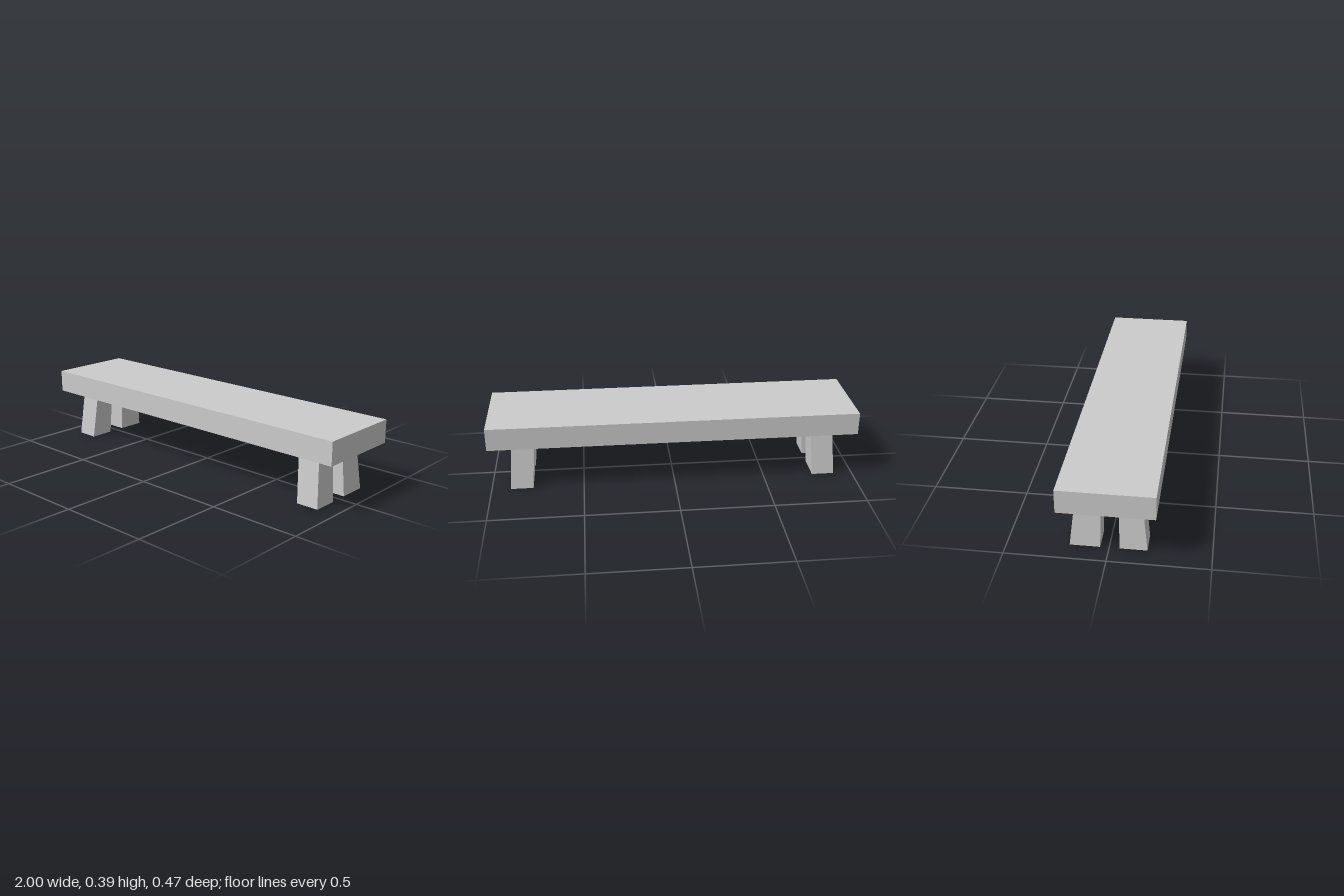
import * as THREE from 'three';

const SEAT_BOTTOM = 0.2625, SEAT_TOP = 0.386;

// Box between y0 and y1 whose bottom and top rectangles differ: [x0, x1, z0, z1]
function taperedBox(name, y0, y1, bottom, top, material) {
  const geometry = new THREE.BoxGeometry(1, 1, 1);
  const pos = geometry.attributes.position;
  for (let i = 0; i < pos.count; i++) {
    const upper = pos.getY(i) > 0;
    const r = upper ? top : bottom;
    pos.setXYZ(i, pos.getX(i) > 0 ? r[1] : r[0], upper ? y1 : y0, pos.getZ(i) > 0 ? r[3] : r[2]);
  }
  geometry.computeVertexNormals();
  const mesh = new THREE.Mesh(geometry, material);
  mesh.name = name;
  return mesh;
}

export function createModel() {
  const group = new THREE.Group();
  group.name = 'bench';
  const material = new THREE.MeshStandardMaterial({ color: 0xcccccc, flatShading: true });

  // Thick plank seat
  const seat = new THREE.Mesh(new THREE.BoxGeometry(2, SEAT_TOP - SEAT_BOTTOM, 0.471), material);
  seat.position.y = (SEAT_TOP + SEAT_BOTTOM) / 2;
  seat.name = 'seat';
  group.add(seat);

  // Splayed, tapering legs: z ranges at the floor and under the seat
  const legs = [
    { name: 'FrontLeg', floor: [0.052, 0.187], under: [0.044, 0.159] },
    { name: 'BackLeg', floor: [-0.194, -0.044], under: [-0.164, -0.038] },
  ];
  for (const side of [1, -1]) {
    const xRange = (a, b) => (side > 0 ? [a, b] : [-b, -a]);
    for (const leg of legs) {
      group.add(taperedBox((side > 0 ? 'left' : 'right') + leg.name, 0, SEAT_BOTTOM,
        [...xRange(0.775, 0.897), ...leg.floor],
        [...xRange(0.755, 0.877), ...leg.under], material));
    }
  }
  return group;
}
